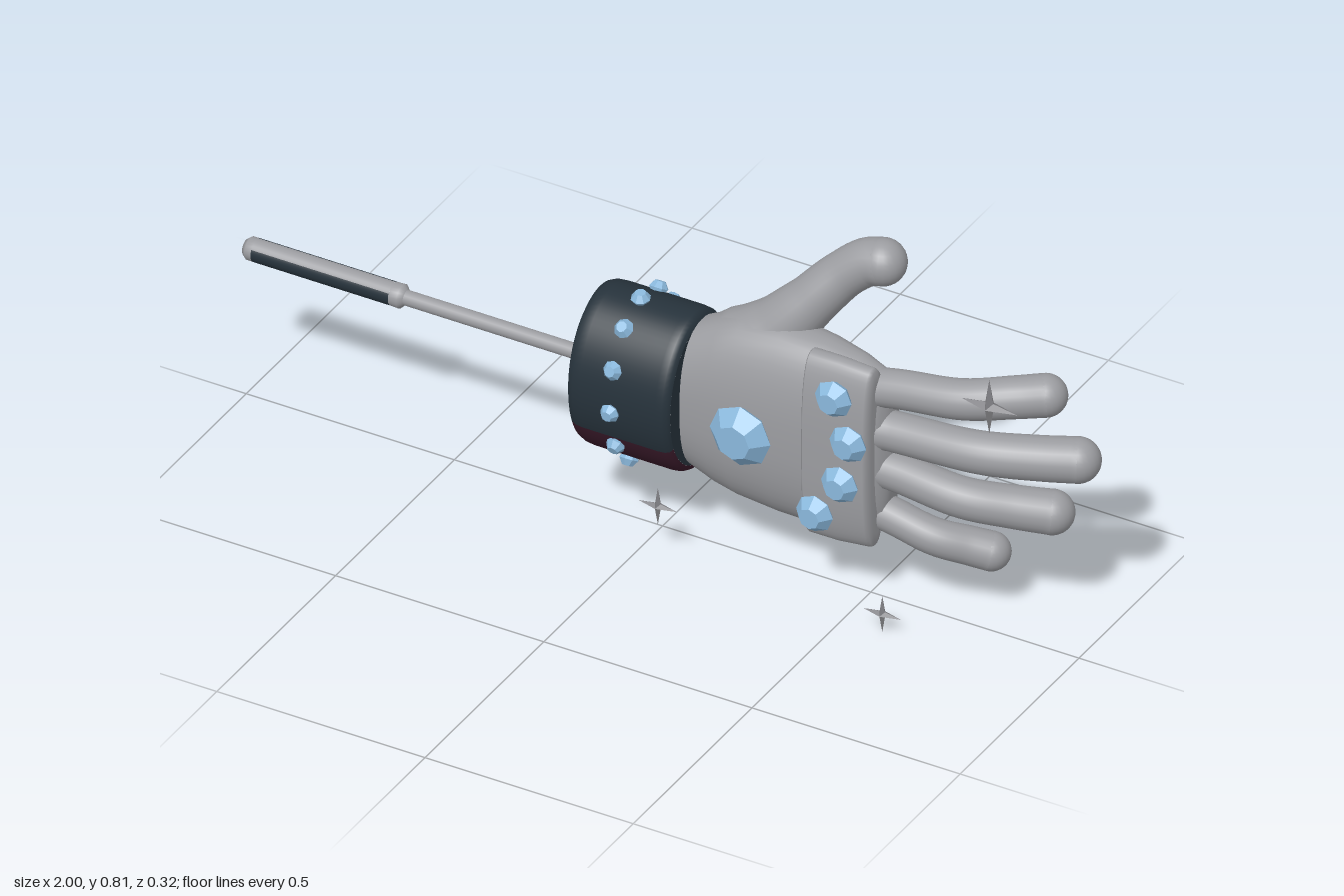
import * as THREE from 'three';
import { mergeVertices } from 'three/addons/utils/BufferGeometryUtils.js';

const mat = (name, color) => Object.assign(new THREE.MeshStandardMaterial({ color }), { name });
const V2 = (a) => a.map(([x, y]) => new THREE.Vector2(x, y));
const rad = THREE.MathUtils.degToRad;

// Weld seams and recompute smooth normals
function smooth(g) {
  g.deleteAttribute('normal');
  g.deleteAttribute('uv');
  g = mergeVertices(g, 1e-5);
  g.computeVertexNormals();
  return g;
}

// Faceted copy
function faceted(g) {
  g = g.toNonIndexed();
  g.computeVertexNormals();
  return g;
}

// Closed superellipse sections along x: [x, bottom, top, back, front]
function loft(sections, exponent) {
  const n = 48, pos = [], idx = [];
  const sp = (v) => Math.sign(v) * Math.pow(Math.abs(v), 2 / exponent);
  sections.forEach(([x, y0, y1, z0, z1], i) => {
    for (let j = 0; j < n; j++) {
      const t = (j / n) * Math.PI * 2;
      pos.push(x, (y0 + y1) / 2 + ((y1 - y0) / 2) * sp(Math.sin(t)), (z0 + z1) / 2 + ((z1 - z0) / 2) * sp(Math.cos(t)));
      if (i === sections.length - 1) continue;
      const a = i * n + j, d = i * n + ((j + 1) % n);
      idx.push(a, a + n, d + n, a, d + n, d);
    }
  });
  const g = new THREE.BufferGeometry();
  g.setAttribute('position', new THREE.Float32BufferAttribute(pos, 3));
  g.setIndex(idx);
  g.computeVertexNormals();
  return g;
}

// Profile of [radius, x] turned about the x axis; angles run from +z towards -y
function turned(profile, start = 0, sweep = 360, segments = 48) {
  return new THREE.LatheGeometry(V2(profile), segments, rad(start), rad(sweep)).rotateZ(-Math.PI / 2);
}

// Tapering finger through [x, y, z, radius] with a round tip
function finger(name, pts, material) {
  const group = new THREE.Group();
  group.name = name;
  const curve = new THREE.CatmullRomCurve3(pts.map(([x, y, z]) => new THREE.Vector3(x, y, z)));
  const rings = 36, sides = 24;
  const g = new THREE.TubeGeometry(curve, rings, 1, sides);
  const p = g.attributes.position, v = new THREE.Vector3();
  for (let i = 0; i <= rings; i++) {
    const c = curve.getPointAt(i / rings);
    const f = (i / rings) * (pts.length - 1), k = Math.min(Math.floor(f), pts.length - 2);
    const r = THREE.MathUtils.lerp(pts[k][3], pts[k + 1][3], f - k);
    for (let j = 0; j <= sides; j++) {
      const q = i * (sides + 1) + j;
      v.fromBufferAttribute(p, q).sub(c).multiplyScalar(r).add(c);
      p.setXYZ(q, v.x, v.y, v.z);
    }
  }
  const tip = pts[pts.length - 1];
  const ball = new THREE.Mesh(new THREE.SphereGeometry(tip[3], 24, 16), material);
  ball.position.set(tip[0], tip[1], tip[2]);
  group.add(new THREE.Mesh(smooth(g), material), ball);
  return group;
}

// Eight-sided cut gem facing +z
function gemGeometry(r, h) {
  const profile = [[0, 0], [0.75 * r, 0], [r, 0.4 * h], [0.55 * r, h], [0, h]];
  return faceted(new THREE.LatheGeometry(V2(profile), 8).rotateX(Math.PI / 2));
}

// Four-pointed star with raised middle
function starGeometry(r) {
  const g = new THREE.LatheGeometry(V2([[0, -0.27 * r], [r, 0], [0, 0.27 * r]]), 8);
  const p = g.attributes.position;
  for (let i = 1; i < 9; i += 2) p.setXYZ(i * 3 + 1, p.getX(i * 3 + 1) * 0.2, 0, p.getZ(i * 3 + 1) * 0.2);
  return faceted(g.rotateX(Math.PI / 2));
}

export function createModel() {
  const model = new THREE.Group();
  model.name = 'gauntletOnRod';
  const grey = mat('grey', 0x9c9da1);
  const slate = mat('slate', 0x26323b);
  const maroon = mat('maroon', 0x3a1a2a);
  const blue = mat('gemBlue', 0x8ab8dc);
  const starGrey = mat('starGrey', 0x86868a);
  const add = (name, geometry, material, x = 0, y = 0, z = 0) => {
    const m = new THREE.Mesh(geometry, material);
    m.name = name;
    m.position.set(x, y, z);
    model.add(m);
    return m;
  };
  const CY = 0.37;

  // Rod and grip, with a grey strip along the upper front
  add('rod', turned([[0.017, -0.64], [0.017, -0.14]], 0, 360, 24), grey, 0, CY);
  add('gripEnd', turned([[0, -1], [0.018, -1], [0.026, -0.99], [0.026, -0.975]], 0, 360, 24), grey, 0, CY);
  add('gripCollar', turned([[0.026, -0.645], [0.027, -0.625], [0.017, -0.615]], 0, 360, 24), grey, 0, CY);
  const grip = [[0.026, -0.975], [0.026, -0.645]];
  add('gripDark', turned(grip, -30, 280, 24), slate, 0, CY);
  add('gripStrip', turned(grip, -110, 80, 8), grey, 0, CY);

  // Oval cuff: slate sides and ends, maroon underside
  const oval = (g) => g.scale(1, 0.192, 0.14);
  const wall = [[0.9, -0.155], [0.96, -0.15], [0.99, -0.138], [1, -0.12], [1, 0.06], [0.99, 0.076], [0.96, 0.086], [0.9, 0.09]];
  add('cuffWall', oval(turned(wall, 152, 236)), slate, 0, CY);
  add('cuffUnderside', oval(turned(wall, 28, 124)), maroon, 0, CY);
  add('cuffRearEnd', oval(turned([[0, -0.155], [0.9, -0.155]])), slate, 0, CY);
  add('cuffFrontEnd', oval(turned([[0.9, 0.09], [0, 0.09]])), slate, 0, CY);

  // Ring of studs around the cuff
  const studGeometry = gemGeometry(0.022, 0.024);
  for (let i = 0; i < 12; i++) {
    const a = rad(-5 + 30 * i), s = Math.sin(a), c = Math.cos(a);
    const stud = add('cuffStud', studGeometry, blue, -0.045, CY + 0.188 * s, 0.136 * c);
    stud.rotation.x = -Math.atan2(s / 0.192, c / 0.14);
  }

  // Palm
  add('palm', loft([
    [0.06, 0.21, 0.53, -0.1, 0.085],
    [0.1, 0.19, 0.55, -0.108, 0.088],
    [0.15, 0.168, 0.575, -0.115, 0.092],
    [0.2, 0.155, 0.595, -0.118, 0.095],
    [0.3, 0.145, 0.605, -0.115, 0.095],
    [0.4, 0.145, 0.6, -0.095, 0.09],
    [0.48, 0.155, 0.59, -0.07, 0.08],
    [0.53, 0.175, 0.575, -0.05, 0.065],
    [0.55, 0.2, 0.55, -0.035, 0.05],
    [0.56, 0.36, 0.38, 0.005, 0.01],
  ], 2.4), grey);

  // Knuckle guard
  add('knuckleGuard', loft([
    [0.385, 0.18, 0.57, 0.02, 0.08],
    [0.387, 0.152, 0.602, 0.005, 0.095],
    [0.39, 0.15, 0.604, 0.003, 0.097],
    [0.46, 0.15, 0.604, 0.003, 0.096],
    [0.53, 0.156, 0.598, 0.005, 0.09],
    [0.538, 0.16, 0.594, 0.008, 0.087],
    [0.541, 0.19, 0.565, 0.02, 0.07],
    [0.541, 0.37, 0.38, 0.04, 0.05],
  ], 2.6), grey);

  // Thumb and fingers
  const digits = {
    thumb: [[0.13, 0.44, -0.02, 0.1], [0.22, 0.52, -0.03, 0.095], [0.315, 0.63, -0.055, 0.07], [0.385, 0.71, -0.09, 0.057], [0.435, 0.748, -0.105, 0.052], [0.468, 0.757, -0.108, 0.052]],
    indexFinger: [[0.42, 0.51, 0.02, 0.058], [0.57, 0.54, 0.01, 0.042], [0.72, 0.555, -0.005, 0.043], [0.82, 0.57, -0.045, 0.045], [0.875, 0.573, -0.08, 0.047]],
    middleFinger: [[0.42, 0.43, 0.02, 0.058], [0.58, 0.432, 0.01, 0.044], [0.76, 0.435, -0.005, 0.045], [0.88, 0.434, -0.05, 0.048], [0.95, 0.433, -0.084, 0.05]],
    ringFinger: [[0.42, 0.34, 0.02, 0.058], [0.57, 0.332, 0.01, 0.043], [0.72, 0.312, 0, 0.044], [0.82, 0.295, -0.045, 0.046], [0.89, 0.285, -0.08, 0.049]],
    littleFinger: [[0.42, 0.235, 0.015, 0.055], [0.54, 0.22, 0.008, 0.04], [0.65, 0.188, -0.005, 0.039], [0.715, 0.166, -0.04, 0.041], [0.755, 0.154, -0.06, 0.043]],
  };
  for (const [name, pts] of Object.entries(digits)) model.add(finger(name, pts, grey));

  // Gems on the back of the hand and knuckles
  add('centreGem', gemGeometry(0.073, 0.055), blue, 0.25, 0.375, 0.09);
  for (const [x, y] of [[0.465, 0.53], [0.5, 0.428], [0.48, 0.32], [0.42, 0.228]]) {
    add('knuckleGem', gemGeometry(0.044, 0.042), blue, x, y, 0.08);
  }

  // Floating stars
  for (const [x, y, r] of [[0.852, 0.652, 0.067], [0.056, 0.138, 0.046], [0.595, 0.046, 0.045]]) {
    add('star', starGeometry(r), starGrey, x, y, 0.118);
  }
  return model;
}
